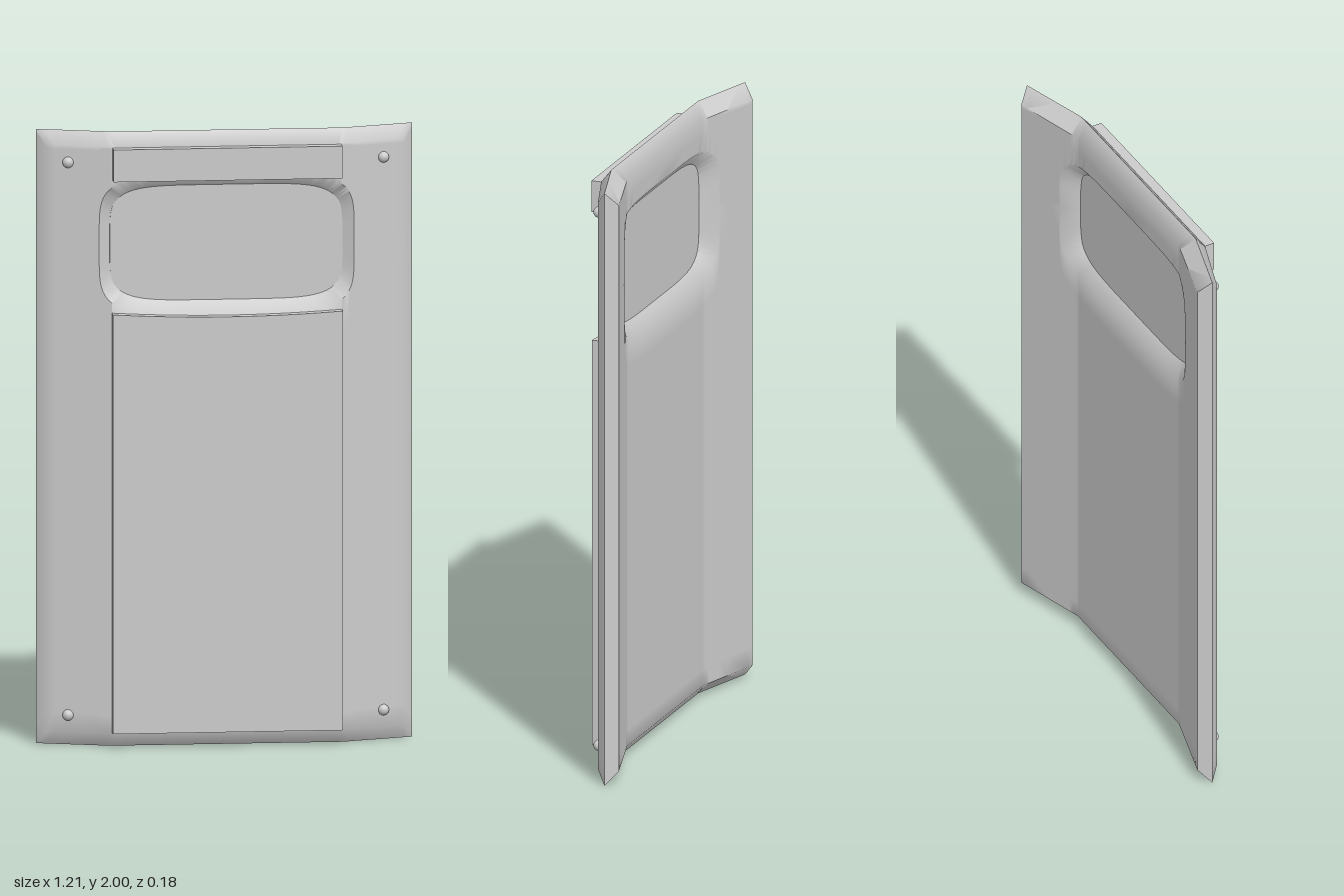
import * as THREE from 'three';
import { toCreasedNormals } from 'three/addons/utils/BufferGeometryUtils.js';

const W = 0.575, RIDGE_X = 0.605, EDGE = 0.955; // face half width, ridge half width, face half height
const HOLE = { y: 1.635, a: 0.41, b: 0.225, n: 5 }; // window opening in the faces
const PANE = { a: 0.37, b: 0.185 };                 // window opening at mid thickness

// Depth of a folded sheet: flat in the middle, then swept back to the side
const fold = (x, at, z, zEnd) => z + (zEnd - z) * Math.max(0, (Math.abs(x) - at) / (W - at));
const zFront = (x) => fold(x, 0.37, 0.055, -0.015);
const zMid = (x) => fold(x, 0.355, 0.019, -0.05);
const zBack = (x) => fold(x, 0.33, -0.018, -0.088);

const holeHeight = (x) => HOLE.b * Math.pow(Math.max(0, 1 - Math.pow(Math.abs(x) / HOLE.a, HOLE.n)), 1 / HOLE.n);
const superCos = (t) => Math.sign(Math.cos(t)) * Math.pow(Math.abs(Math.cos(t)), 2 / HOLE.n);

// Folded plate with bevelled outer edge and a bevelled window opening
function plateGeometry() {
  const pos = [];
  const quad = (a, b, c, d, flip) => {
    const q = flip ? [a, d, c, b] : [a, b, c, d];
    for (const i of [0, 1, 2, 0, 2, 3]) pos.push(...q[i]);
  };

  // Columns across the width, dense around the window corners
  let xs = [-W, W, -0.37, 0.37, -0.33, 0.33, -0.45, 0.45, -0.55, 0.55];
  for (let i = 0; i <= 48; i++) xs.push(HOLE.a * superCos((i / 48) * Math.PI));
  xs = xs.sort((p, q) => p - q).filter((x, i, all) => i === 0 || x - all[i - 1] > 1e-5);

  // One column: outer ridge, face rows, window rim
  const column = (x, s, z) => {
    const h = holeHeight(x);
    const outer = 1 + s * EDGE, inner = HOLE.y + s * h;
    const rows = [0, 0.04, 0.5, 0.93, 1].map((f) => [x, outer + (inner - outer) * f, z(x)]);
    const rimX = x * PANE.a / HOLE.a;
    return [
      [x * RIDGE_X / W, 1 + s, zMid(x)],
      ...rows,
      [rimX, HOLE.y + s * h * PANE.b / HOLE.b, zMid(rimX)],
    ];
  };

  for (const z of [zFront, zBack]) {
    for (const s of [1, -1]) {
      const flip = (z === zBack) !== (s < 0);
      for (let i = 0; i < xs.length - 1; i++) {
        const l = column(xs[i], s, z), r = column(xs[i + 1], s, z);
        const hasRim = Math.max(Math.abs(xs[i]), Math.abs(xs[i + 1])) < HOLE.a + 1e-4;
        const count = hasRim ? l.length - 1 : l.length - 2;
        for (let j = 0; j < count; j++) quad(l[j], l[j + 1], r[j + 1], r[j], flip);
      }
      // Side bevels
      for (const side of [1, -1]) {
        const rows = column(side * W, s, z).slice(1, -1);
        const ridge = rows.map((p) => [side * RIDGE_X, 1 + (p[1] - 1) / EDGE, zMid(W)]);
        for (let j = 0; j < rows.length - 1; j++) {
          quad(rows[j], rows[j + 1], ridge[j + 1], ridge[j], flip !== (side < 0));
        }
      }
    }
  }
  const g = new THREE.BufferGeometry();
  g.setAttribute('position', new THREE.Float32BufferAttribute(pos, 3));
  return toCreasedNormals(g, 0.8);
}

export function createModel() {
  const group = new THREE.Group();
  const material = new THREE.MeshStandardMaterial({ color: 0xcccccc });
  const add = (name, geometry, x = 0, y = 0, z = 0) => {
    const mesh = new THREE.Mesh(geometry, material);
    mesh.name = name;
    mesh.position.set(x, y, z);
    group.add(mesh);
  };

  add('shieldPlate', plateGeometry());

  // Window pane seated in the rim
  const outline = [];
  for (let i = 0; i < 96; i++) {
    const t = (i / 96) * Math.PI * 2;
    const sy = Math.sign(Math.sin(t)) * Math.pow(Math.abs(Math.sin(t)), 2 / HOLE.n);
    outline.push(new THREE.Vector2((PANE.a + 0.004) * superCos(t), (PANE.b + 0.004) * sy));
  }
  add('windowPane', new THREE.ExtrudeGeometry(new THREE.Shape(outline),
    { depth: 0.006, bevelEnabled: false }), 0, HOLE.y, 0.015);

  // Raised front panel with a slightly dished top edge
  const panel = new THREE.Shape();
  panel.moveTo(-0.37, 0.05);
  panel.lineTo(0.37, 0.05);
  panel.lineTo(0.37, 1.415);
  panel.quadraticCurveTo(0, 1.39, -0.37, 1.415);
  add('frontPanel', new THREE.ExtrudeGeometry(panel,
    { depth: 0.045, bevelEnabled: false, curveSegments: 12 }), 0, 0, 0.042);

  // Bar above the window
  add('topBar', new THREE.BoxGeometry(0.736, 0.105, 0.05), 0, 1.9, 0.065);

  // Corner rivets
  for (const x of [-0.507, 0.507]) {
    for (const y of [0.1, 1.9]) {
      add('rivet', new THREE.SphereGeometry(0.018, 16, 12), x, y, zFront(x));
    }
  }
  return group;
}
